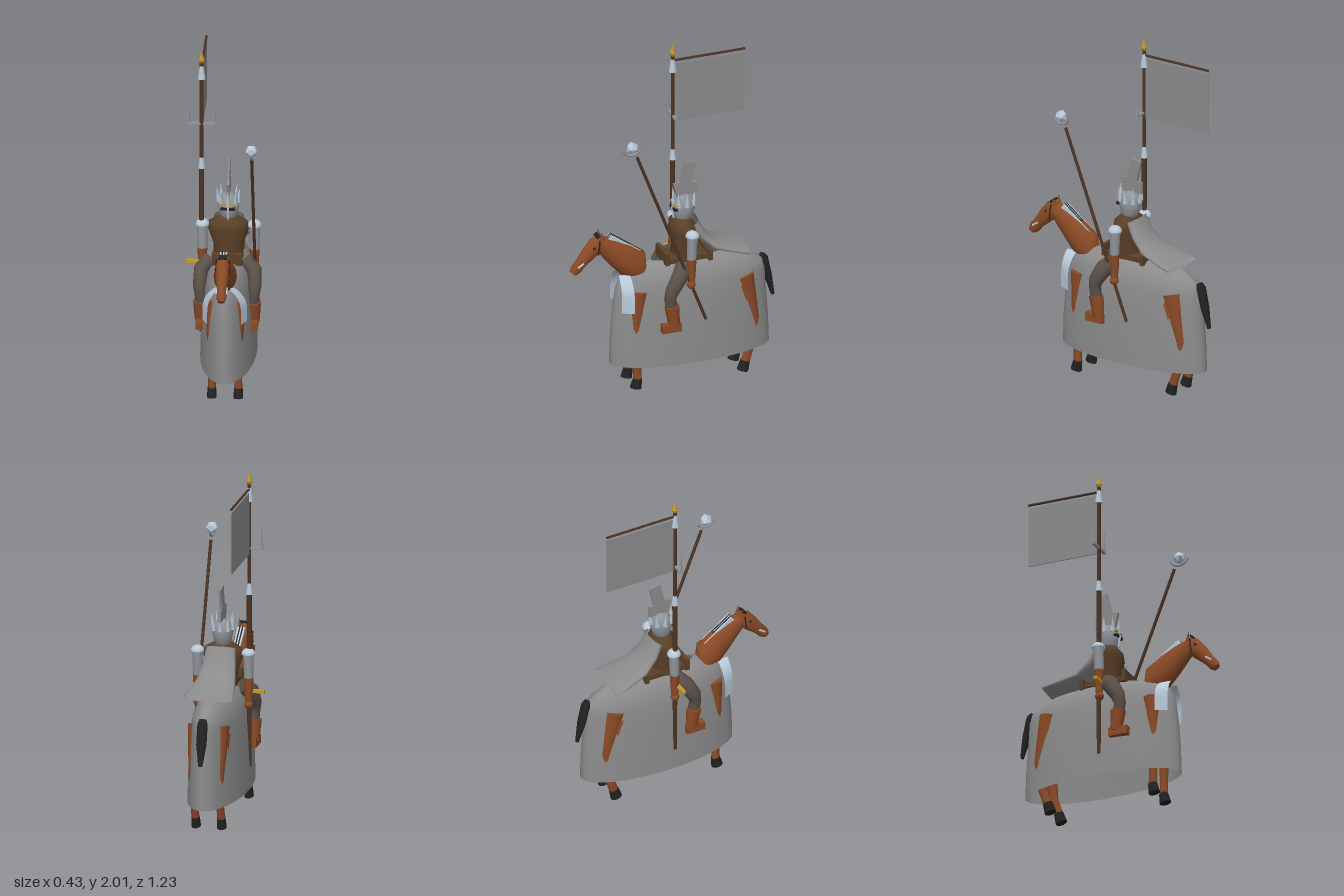
import * as THREE from 'three';

const CX = 0.015; // middle plane of horse and rider

export function createModel() {
  const root = new THREE.Group();
  root.name = 'mountedRider';
  const mat = (name, color, side = THREE.FrontSide) => {
    const m = new THREE.MeshStandardMaterial({ color, side });
    m.name = name;
    return m;
  };
  const hide = mat('chestnut', 0x8b4a26);
  const leather = mat('leather', 0x5a4028);
  const cloth = mat('greyCloth', 0x8b8b8b, THREE.DoubleSide);
  const steel = mat('paleSteel', 0xb9c9d8, THREE.DoubleSide);
  const trousers = mat('trousers', 0x5a5048);
  const black = mat('black', 0x222222);
  const gold = mat('gold', 0xc8962e);
  const wood = mat('darkWood', 0x4c3424);
  const iron = mat('iron', 0x909499);

  const add = (name, geo, material, x = 0, y = 0, z = 0, rx = 0) => {
    const m = new THREE.Mesh(geo, material);
    m.name = name;
    m.position.set(x, y, z);
    m.rotation.x = rx;
    root.add(m);
    return m;
  };
  const box = (name, material, w, h, d, x, y, z, rx) =>
    add(name, new THREE.BoxGeometry(w, h, d), material, x, y, z, rx);

  // Straight rod between two points, r0 at the start and r1 at the end
  const rod = (name, material, a, b, r0, r1 = r0, sides = 10) => {
    const p = new THREE.Vector3(...a), q = new THREE.Vector3(...b);
    const m = add(name, new THREE.CylinderGeometry(r1, r0, p.distanceTo(q), sides), material);
    m.position.copy(p).lerp(q, 0.5);
    m.quaternion.setFromUnitVectors(new THREE.Vector3(0, 1, 0), q.sub(p).normalize());
    return m;
  };

  // Skin over elliptical sections [x, y, z, halfWidth, halfDepth]
  const loft = (name, material, secs, { n = 14, caps = true, axis = null } = {}) => {
    const pts = secs.map(s => new THREE.Vector3(s[0], s[1], s[2]));
    const pos = [], idx = [];
    const ring = (c, u, v, a, b) => {
      for (let j = 0; j < n; j++) {
        const t = (j / n) * Math.PI * 2;
        const p = c.clone().addScaledVector(u, a * Math.cos(t)).addScaledVector(v, b * Math.sin(t));
        pos.push(p.x, p.y, p.z);
      }
    };
    const last = secs.length - 1;
    secs.forEach((s, i) => {
      const t = axis ? axis.clone()
        : pts[Math.min(i + 1, last)].clone().sub(pts[Math.max(i - 1, 0)]).normalize();
      const u = new THREE.Vector3(1, 0, 0).addScaledVector(t, -t.x).normalize();
      ring(pts[i], u, t.clone().cross(u), s[3], s[4]);
    });
    for (let i = 0; i < last; i++) for (let j = 0; j < n; j++) {
      const a = i * n + j, b = i * n + (j + 1) % n;
      idx.push(a, b, a + n, b, b + n, a + n);
    }
    if (caps) [0, last].forEach(i => {
      const start = pos.length / 3;
      pos.push(...pos.slice(i * n * 3, (i + 1) * n * 3), pts[i].x, pts[i].y, pts[i].z);
      for (let j = 0; j < n; j++) {
        const a = start + j, b = start + (j + 1) % n, c = start + n;
        if (i) idx.push(a, b, c); else idx.push(b, a, c);
      }
    });
    const g = new THREE.BufferGeometry();
    g.setAttribute('position', new THREE.Float32BufferAttribute(pos, 3));
    g.setIndex(idx);
    g.computeVertexNormals();
    return add(name, g, material);
  };

  // Horse blanket, open below and under the saddle
  loft('caparison', cloth, [
    [0.14, 0.38, -0.58, 0.16], [0.3, 0.375, -0.575, 0.156], [0.5, 0.36, -0.56, 0.145],
    [0.6, 0.345, -0.555, 0.135], [0.655, 0.325, -0.54, 0.12], [0.7, 0.29, -0.47, 0.1],
    [0.73, 0.22, -0.42, 0.075], [0.75, 0.13, -0.3, 0.05],
  ].map(([y, f, b, w]) => [CX, y, (f + b) / 2, w, (f - b) / 2]),
  { n: 36, caps: false, axis: new THREE.Vector3(0, 1, 0) });

  // Triangular patches following the blanket sides
  const patchMat = hide;
  for (const s of [-1, 1]) {
    for (const [z0, z1, top, zt, low] of [[-0.37, -0.435, 0.55, -0.405, 0.45], [0.26, 0.21, 0.535, 0.225, 0.485]]) {
      const at = (y, z) => [
        CX + s * ((0.15 - (y - 0.45) * 0.09) * Math.sqrt(1 - ((z + 0.1) / 0.462) ** 2) + 0.004), y, z];
      const c = [at(top, z0), at(top, z1), at(low, zt)];
      if (s > 0) c.reverse();
      const g = new THREE.BufferGeometry();
      g.setAttribute('position', new THREE.Float32BufferAttribute(c.flat(), 3));
      g.computeVertexNormals();
      add('blanketPatch', g, patchMat);
    }
  }

  // Horse legs and hooves
  for (const s of [-1, 1]) {
    const x = CX + s * 0.075;
    loft('frontLeg', hide, [[x, 0.6, 0.23, 0.04, 0.05], [x, 0.32, 0.245, 0.026, 0.03],
      [x, 0.15, 0.24, 0.02, 0.024], [x, 0.05, 0.24, 0.023, 0.024]].reverse());
    loft('frontHoof', black, [[x, 0, 0.25, 0.028, 0.034], [x, 0.06, 0.238, 0.024, 0.026]], { n: 10 });
    loft('hindLeg', hide, [[x, 0.6, -0.4, 0.045, 0.06], [x, 0.32, -0.46, 0.028, 0.035],
      [x, 0.15, -0.442, 0.021, 0.026], [x, 0.05, -0.41, 0.023, 0.026]].reverse());
    loft('hindHoof', black, [[x, 0, -0.395, 0.028, 0.034], [x, 0.06, -0.412, 0.024, 0.028]], { n: 10 });
  }

  // Horse neck, head and tail
  loft('horseNeck', hide, [[CX, 0.7, 0.2, 0.06, 0.05], [CX, 0.745, 0.235, 0.066, 0.095],
    [CX, 0.81, 0.31, 0.055, 0.085], [CX, 0.87, 0.385, 0.044, 0.065], [CX, 0.91, 0.44, 0.036, 0.045]]);
  loft('horseHead', hide, [[CX, 0.935, 0.425, 0.028, 0.03], [CX, 0.905, 0.455, 0.039, 0.052],
    [CX, 0.855, 0.505, 0.037, 0.045], [CX, 0.8, 0.555, 0.028, 0.033],
    [CX, 0.765, 0.585, 0.028, 0.033], [CX, 0.745, 0.602, 0.02, 0.022]]);
  for (const s of [-1, 1]) {
    rod('horseEar', hide, [CX + s * 0.022, 0.935, 0.43], [CX + s * 0.027, 0.985, 0.44], 0.012, 0.001, 6);
    add('horseEye', new THREE.SphereGeometry(0.008, 8, 6), black, CX + s * 0.036, 0.895, 0.485);
    rod('bitPlate', steel, [CX + s * 0.029, 0.81, 0.545], [CX + s * 0.028, 0.785, 0.58], 0.006);
    rod('bridle', black, [CX + s * 0.036, 0.94, 0.45], [CX + s * 0.037, 0.85, 0.46], 0.004);
  }
  box('forelock', black, 0.05, 0.012, 0.025, CX, 0.957, 0.455, 0.7);
  const slope = -Math.atan2(0.13, 0.18);
  box('neckPlate', steel, 0.042, 0.03, 0.215, CX, 0.88, 0.295, slope);
  for (const s of [-1, 1]) box('neckPlateStripe', black, 0.007, 0.034, 0.216, CX + s * 0.008, 0.88, 0.295, slope);
  loft('tail', black, [[CX, 0.67, -0.54, 0.02, 0.015], [CX, 0.645, -0.55, 0.03, 0.026],
    [CX, 0.53, -0.578, 0.03, 0.022], [CX, 0.41, -0.606, 0.012, 0.01]]);

  // Curved chest ribbons
  for (const s of [-1, 1]) {
    const g = new THREE.PlaneGeometry(1, 1, 1, 8), p = g.attributes.position;
    for (let i = 0; i < p.count; i++) {
      const front = p.getX(i) > 0, t = 0.5 - p.getY(i);
      const reach = 0.035 + (front ? 0.06 : 0.09) * Math.sin(Math.min(1, t * 1.5) * Math.PI / 2);
      p.setXYZ(i, CX + s * reach, 0.7 - 0.21 * t ** 1.3, (front ? 0.338 : 0.272) + 0.002 * t);
    }
    g.computeVertexNormals();
    add('chestRibbon', g, steel);
  }

  // Saddle
  box('saddleSeat', leather, 0.15, 0.028, 0.27, CX, 0.752, -0.07);
  box('saddlePommel', leather, 0.17, 0.07, 0.025, CX, 0.77, 0.058);
  box('saddleCantle', leather, 0.17, 0.06, 0.025, CX, 0.757, -0.2);

  // Rider body
  loft('torso', leather, [[CX, 0.74, -0.06, 0.085, 0.065], [CX, 0.82, -0.06, 0.085, 0.06],
    [CX, 0.91, -0.06, 0.115, 0.076], [CX, 0.955, -0.06, 0.11, 0.07], [CX, 0.985, -0.065, 0.06, 0.045]], { n: 18 });
  loft('cape', cloth, [[CX, 0.97, -0.11, 0.085, 0.035], [CX, 0.89, -0.15, 0.095, 0.035],
    [CX, 0.815, -0.22, 0.11, 0.032], [CX, 0.78, -0.33, 0.132, 0.026], [CX, 0.757, -0.42, 0.146, 0.022]],
  { n: 20, caps: false });

  // Arms and legs
  for (const s of [-1, 1]) {
    const ax = CX + s * 0.148, lx = CX + s * 0.15;
    const p = add('pauldron', new THREE.SphereGeometry(0.04, 12, 5, 0, Math.PI * 2, 0, Math.PI / 2), steel, ax, 0.93, -0.065);
    p.scale.y = 0.85;
    rod('pauldronRim', steel, [ax, 0.91, -0.065], [ax, 0.932, -0.065], 0.028, 0.04, 12);
    rod('upperArm', iron, [ax, 0.77, -0.06], [ax, 0.93, -0.065], 0.027, 0.03, 12);
    rod('forearm', hide, [ax, 0.65, -0.06], [ax, 0.79, -0.06], 0.02, 0.029, 12);
    add('hand', new THREE.SphereGeometry(0.026, 10, 8), hide, ax, 0.63, -0.058);
    loft('trouserLeg', trousers, [[CX + s * 0.1, 0.73, -0.03, 0.045, 0.045], [lx, 0.69, 0.01, 0.042, 0.05],
      [lx + s * 0.008, 0.61, 0.06, 0.036, 0.042], [lx, 0.56, 0.07, 0.034, 0.034], [lx, 0.49, 0.057, 0.03, 0.034]]);
    rod('boot', hide, [lx, 0.39, 0.045], [lx, 0.515, 0.06], 0.034, 0.044, 10);
    box('bootFoot', hide, 0.05, 0.05, 0.115, lx, 0.383, 0.065);
  }

  // Helmet with crown, visor and crest
  loft('helmet', iron, [[CX, 0.975, -0.065, 0.035, 0.035], [CX, 1.0, -0.065, 0.05, 0.055],
    [CX, 1.05, -0.068, 0.06, 0.066], [CX, 1.09, -0.07, 0.055, 0.062],
    [CX, 1.12, -0.07, 0.035, 0.04], [CX, 1.13, -0.07, 0.01, 0.01]], { n: 16 });
  box('visorSlit', black, 0.08, 0.014, 0.03, CX, 1.052, -0.013);
  box('browBand', gold, 0.085, 0.012, 0.03, CX, 1.08, -0.018);
  rod('visorRidge', steel, [CX, 0.99, -0.007], [CX, 1.06, 0.003], 0.006);
  for (let i = 0; i < 8; i++) {
    const a = (i / 8) * Math.PI * 2, c = Math.sin(a), d = Math.cos(a);
    rod('crownSpike', steel, [CX + c * 0.056, 1.07, -0.07 + d * 0.06],
      [CX + c * 0.066, 1.16, -0.07 + d * 0.07], 0.016, 0.001, 4);
  }
  box('crestBase', cloth, 0.016, 0.085, 0.095, CX, 1.17, -0.062, 0.25);
  box('crestBack', cloth, 0.016, 0.07, 0.05, CX, 1.16, -0.123);
  box('crestTop', cloth, 0.014, 0.14, 0.068, CX, 1.255, -0.094, -0.22);

  // Banner lance
  const L = -0.137, Z = -0.06;
  rod('lanceShaft', wood, [L, 1.3, Z], [L, 1.94, Z], 0.011);
  rod('lanceGrip', wood, [L, 0.27, Z], [L, 1.31, Z], 0.012, 0.015);
  rod('lanceCollar', steel, [L, 1.28, Z], [L, 1.345, Z], 0.02, 0.011);
  rod('lanceSocket', steel, [L, 1.83, Z], [L, 1.91, Z], 0.023, 0.011, 8);
  rod('lancePointBase', gold, [L, 1.92, Z], [L, 1.945, Z], 0.008, 0.018, 6);
  rod('lancePoint', gold, [L, 1.945, Z], [L, 2, Z], 0.018, 0.001, 6);
  box('crossBar', iron, 0.155, 0.014, 0.016, L, 1.552, Z);
  for (const s of [-1, 1]) rod('crossProng', iron, [L + s * 0.075, 1.55, Z], [L + s * 0.07, 1.69, Z], 0.01, 0.001, 6);
  rod('bannerRod', wood, [L, 1.9, -0.05], [L, 1.9, -0.497], 0.007);
  box('banner', cloth, 0.006, 0.362, 0.425, L, 1.699, -0.283);
  box('goldHilt', gold, 0.085, 0.018, 0.022, -0.18, 0.708, -0.045);

  // Mace
  const M = 0.167;
  rod('maceShaft', wood, [M, 0.4, -0.145], [M, 1.485, 0.27], 0.009);
  add('maceHead', new THREE.IcosahedronGeometry(0.036, 0), steel, M, 1.55, 0.3);
  const arc = new THREE.TorusGeometry(0.055, 0.007, 6, 14, Math.PI * 0.78);
  arc.rotateZ(Math.PI * 1.11);
  arc.rotateY(Math.PI / 2);
  add('maceCrescent', arc, iron, M, 1.557, 0.3);
  return root;
}
